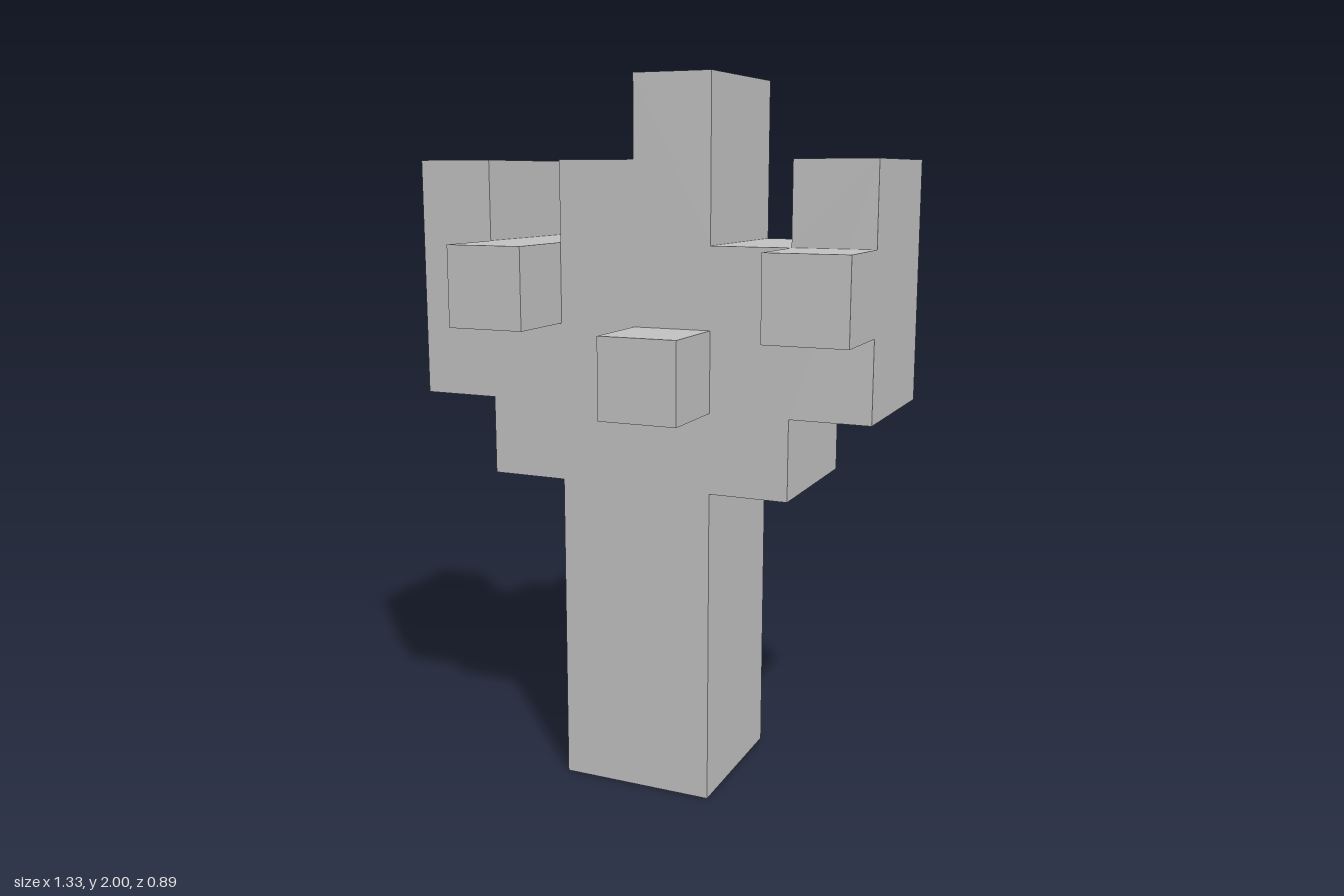
import * as THREE from 'three';

const U = 2 / 9; // one block

export function createModel() {
  const group = new THREE.Group();
  const grey = new THREE.MeshStandardMaterial({ color: 0xc0c0c0 });

  // Trunk and branches: one stepped outline, two blocks deep
  const outline = [
    [-1, 0], [1, 0], [1, 4], [2, 4], [2, 5], [3, 5], [3, 8], [2, 8], [2, 7], [1, 7],
    [1, 9], [0, 9], [0, 8], [-1, 8], [-1, 7], [-2, 7], [-2, 8], [-3, 8], [-3, 5],
    [-2, 5], [-2, 4], [-1, 4],
  ].map(([x, y]) => new THREE.Vector2(x * U, y * U));
  const bodyGeometry = new THREE.ExtrudeGeometry(new THREE.Shape(outline), {
    depth: 2 * U, bevelEnabled: false,
  });
  bodyGeometry.translate(0, 0, -U);
  const body = new THREE.Mesh(bodyGeometry, grey);
  body.name = 'trunkAndBranches';
  group.add(body);

  // Single-block twigs on the front and back: lower corner x, y and centre z
  const twigGeometry = new THREE.BoxGeometry(U, U, U);
  const twigs = {
    frontTwigRight: [-2, 6, 1.5],
    frontTwigMiddle: [0, 5, 1.5],
    frontTwigLeft: [2, 6, 1.5],
    backTwigRight: [-1, 6, -1.5],
    backTwigLeft: [1, 5, -1.5],
  };
  for (const [name, [x, y, z]] of Object.entries(twigs)) {
    const twig = new THREE.Mesh(twigGeometry, grey);
    twig.name = name;
    twig.position.set((x + 0.5) * U, (y + 0.5) * U, z * U);
    group.add(twig);
  }
  return group;
}
